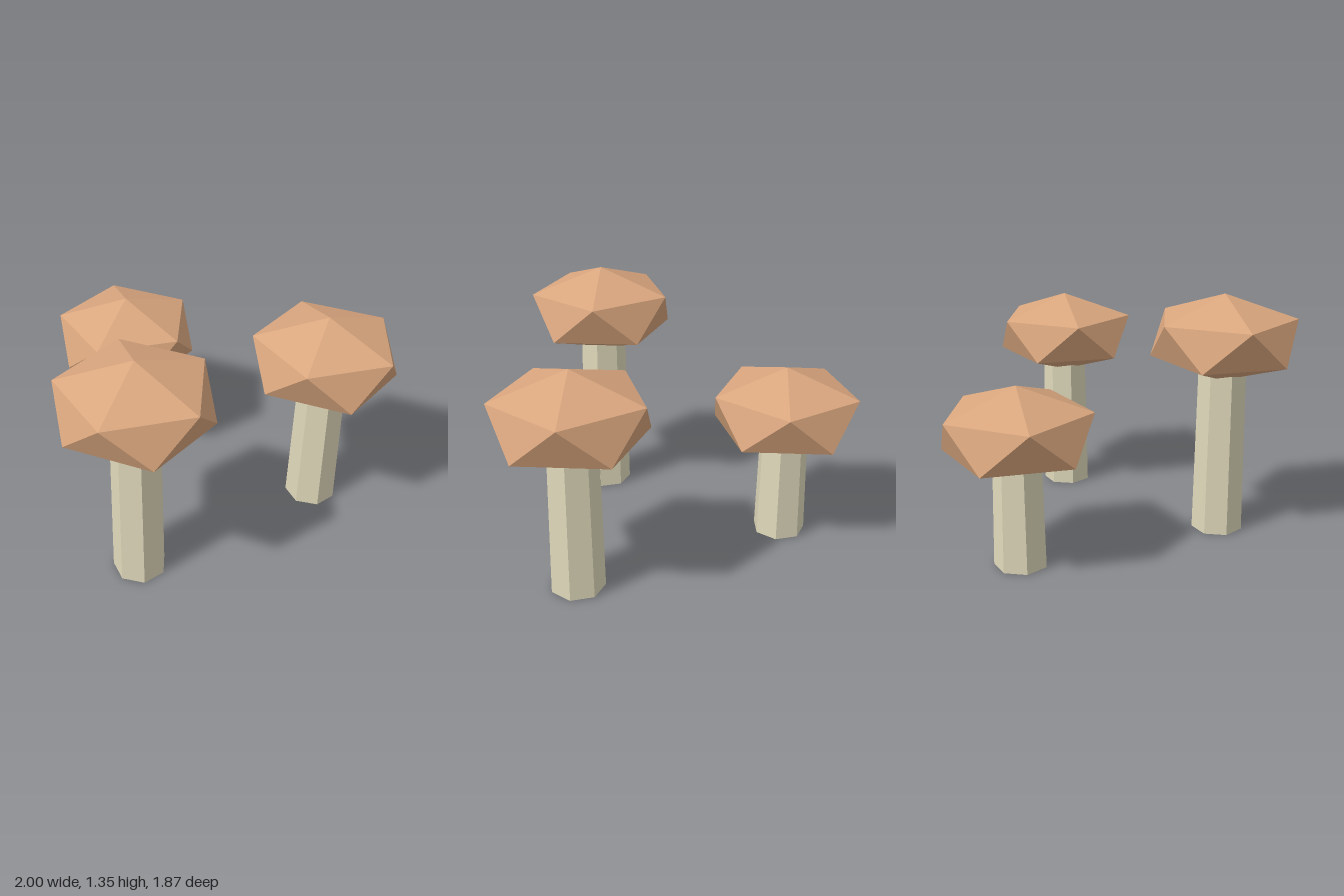
import * as THREE from 'three';

export function createModel() {
  const group = new THREE.Group();
  group.name = 'mushroomCluster';

  const capColor = new THREE.MeshStandardMaterial({ color: 0xd9a67e, flatShading: true });
  capColor.name = 'warm tan';
  const stemColor = new THREE.MeshStandardMaterial({ color: 0xe0d9bb, flatShading: true });
  stemColor.name = 'pale cream';

  // Cap: icosahedron stood on one corner, then flattened
  const capRadius = 0.443;
  const capHalfHeight = 0.24;
  const capGeometry = new THREE.IcosahedronGeometry(capRadius, 0);
  capGeometry.rotateZ(-Math.atan(2 / (1 + Math.sqrt(5))));
  capGeometry.scale(1, capHalfHeight / capRadius, 1);

  // One mushroom: seven-sided tapered stem running up into the cap
  function addMushroom(name, x, z, capY) {
    const mushroom = new THREE.Group();
    mushroom.name = name;
    mushroom.position.set(x, 0, z);

    const stemHeight = capY - 0.1;
    const stem = new THREE.Mesh(new THREE.CylinderGeometry(0.131, 0.145, stemHeight, 7), stemColor);
    stem.name = 'stem';
    stem.position.y = stemHeight / 2;

    const cap = new THREE.Mesh(capGeometry, capColor);
    cap.name = 'cap';
    cap.position.y = capY;

    mushroom.add(stem, cap);
    group.add(mushroom);
  }

  addMushroom('tallMushroom', 0.23, 0.556, 1.113);
  addMushroom('middleMushroom', 0.603, -0.556, 0.966);
  addMushroom('shortMushroom', -0.603, -0.28, 0.742);

  return group;
}
